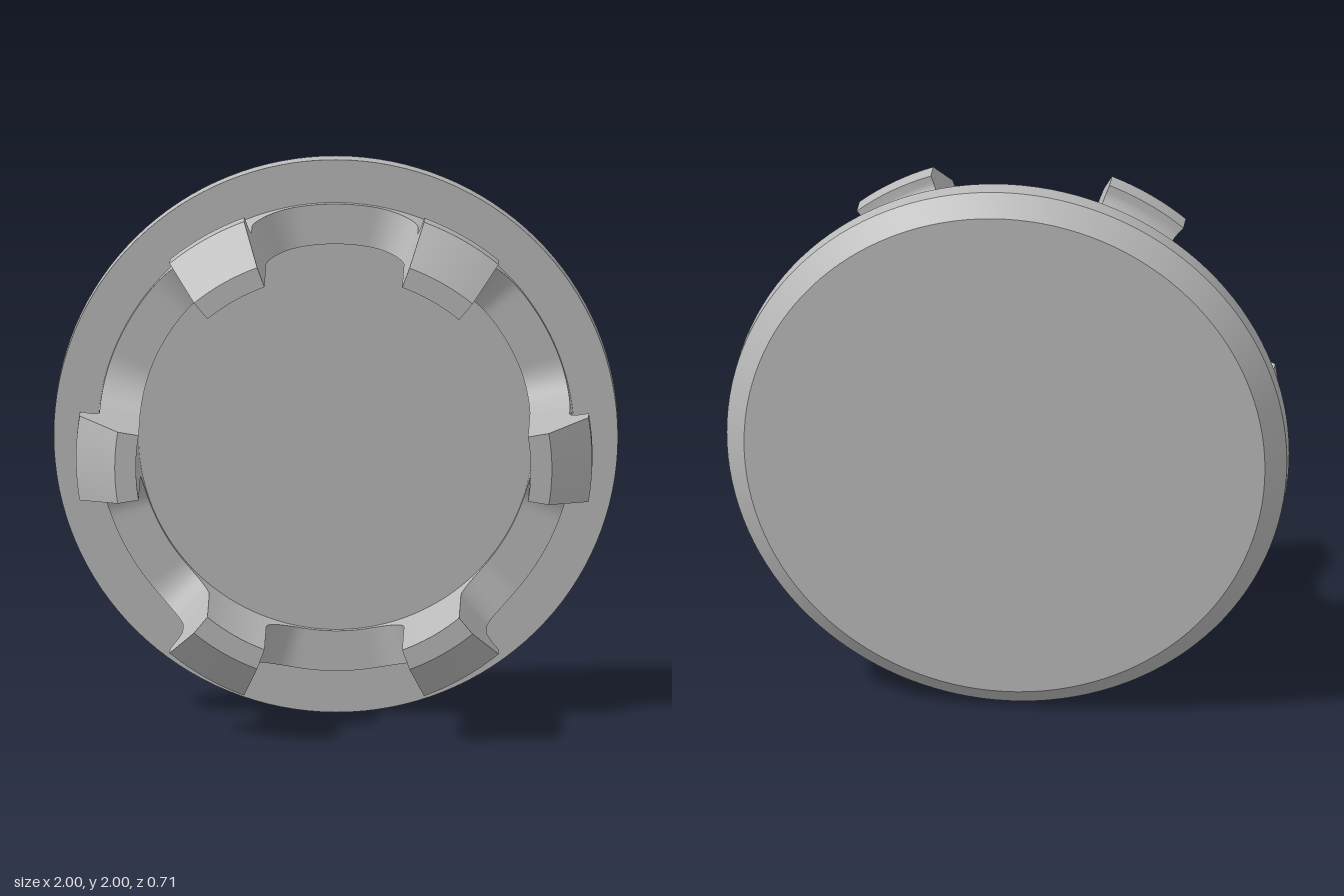
import * as THREE from 'three';
import { toCreasedNormals } from 'three/addons/utils/BufferGeometryUtils.js';

const INNER = 0.7, OUTER = 0.845;       // radii of the crown wall
const FLOOR = -0.215, RIM = -0.19;      // front of the disc, top of the low ring
const LEG_HALF = THREE.MathUtils.degToRad(9.6);
const GAP_HALF = Math.PI / 6 - LEG_HALF;
const FILLET = 0.15, FILLET_ANGLE = FILLET / 0.77;

// Sweeps an (r, z) section around the z axis; rule(t, z) gives [angle, z] for t in -1..1
function sweep(shape, steps, rule) {
  const geo = new THREE.ExtrudeGeometry(shape, { depth: 2, steps, bevelEnabled: false, curveSegments: 10 });
  const pos = geo.attributes.position;
  for (let i = 0; i < pos.count; i++) {
    const r = pos.getX(i);
    const [angle, z] = rule(pos.getZ(i) - 1, pos.getY(i));
    pos.setXYZ(i, r * Math.cos(angle), -r * Math.sin(angle), z);
  }
  return toCreasedNormals(geo, 0.5);
}

// Snap leg: straight shaft, fillet under the barb, sloped tip
function legGeometry() {
  const s = new THREE.Shape();
  s.moveTo(INNER, FLOOR);
  s.lineTo(OUTER, FLOOR);
  s.lineTo(OUTER, 0.065);
  s.absarc(OUTER + 0.045, 0.065, 0.045, Math.PI, Math.PI / 2, true);
  s.lineTo(0.915, 0.11);
  s.lineTo(0.915, 0.185);
  s.lineTo(0.775, 0.355);
  s.lineTo(INNER, 0.355);
  s.closePath();
  return sweep(s, 8, (t, z) => [t * LEG_HALF, z]);
}

// Low ring between two legs, rising to each leg in a quarter-round fillet
function bridgeGeometry() {
  const s = new THREE.Shape();
  s.moveTo(INNER, FLOOR);
  s.lineTo(OUTER, FLOOR);
  s.lineTo(OUTER, RIM);
  s.lineTo(INNER, RIM);
  s.closePath();
  return sweep(s, 48, (t, z) => {
    const angle = GAP_HALF * Math.sin(t * Math.PI / 2);
    const u = Math.min(1, Math.max(0, (Math.abs(angle) - GAP_HALF + FILLET_ANGLE) / FILLET_ANGLE));
    const rise = FILLET * (1 - Math.sqrt(1 - u * u));
    return [angle, z > FLOOR + 0.01 ? RIM + rise : z];
  });
}

export function createModel() {
  const model = new THREE.Group();
  model.name = 'snapInCap';
  const grey = new THREE.MeshStandardMaterial({ color: 0xbababa });
  grey.name = 'grey';

  const add = (geo, name, angle = 0) => {
    const mesh = new THREE.Mesh(geo, grey);
    mesh.name = name;
    mesh.position.y = 1;
    mesh.rotation.z = angle;
    model.add(mesh);
  };

  // Cover disc with a chamfered back edge
  const profile = [[0, -0.355], [0.93, -0.355], [1, -0.285], [1, FLOOR], [0, FLOOR]]
    .map(([r, z]) => new THREE.Vector2(r, z));
  const disc = new THREE.LatheGeometry(profile, 128).rotateX(Math.PI / 2);
  add(toCreasedNormals(disc, 0.5), 'coverDisc');

  // Six legs with bridges between them
  const leg = legGeometry(), bridge = bridgeGeometry();
  for (let i = 0; i < 6; i++) {
    add(leg, 'snapLeg' + (i + 1), i * Math.PI / 3);
    add(bridge, 'ringBridge' + (i + 1), (i + 0.5) * Math.PI / 3);
  }
  return model;
}
